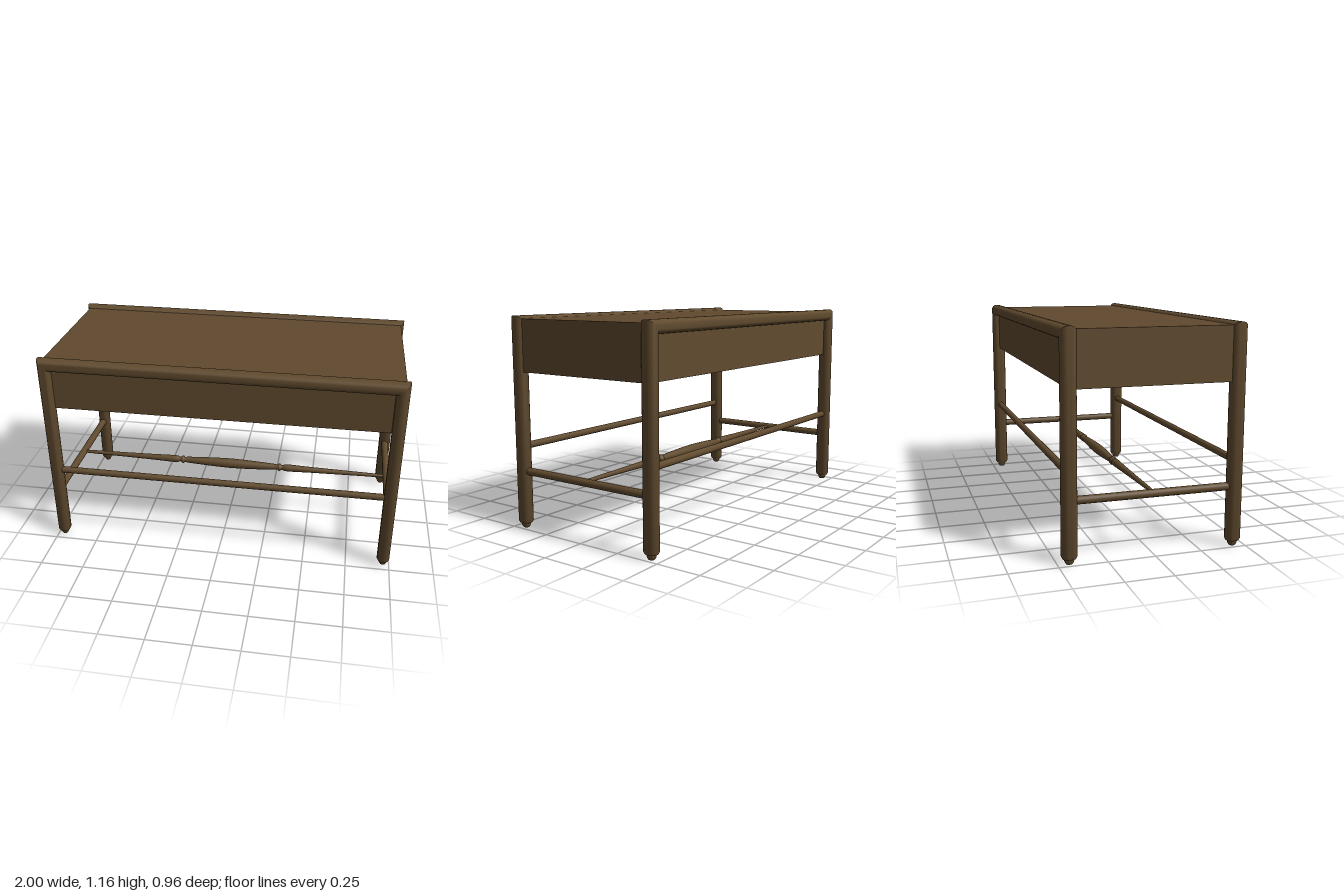
import * as THREE from 'three';
import { toCreasedNormals } from 'three/addons/utils/BufferGeometryUtils.js';

const LEG_X = 0.964, RAIL_Y = 1.129, FRAME_Z = 0.44;
const RX = 0.036, RZ = 0.041;

// One continuous mitred frame: foot, leg, top rail, leg, foot
function frameGeometry() {
  const foot = [[0, 0], [0, 0.4], [0.012, 0.58], [0.026, 0.64], [0.028, 0.84], [0.04, 1]];
  const rings = foot.map(([y, s]) => ({ x: -LEG_X, y, ox: -1, oy: 0, s }));
  rings.push({ x: -LEG_X, y: RAIL_Y, ox: -1, oy: 1, s: 1 });
  const half = rings.map((r) => ({ ...r, x: -r.x, ox: -r.ox })).reverse();
  rings.push(...half);

  const sides = 32, positions = [], index = [];
  const round = (v) => Math.sign(v) * Math.pow(Math.abs(v), 0.88);
  for (const r of rings) {
    for (let i = 0; i < sides; i++) {
      const t = (i / sides) * Math.PI * 2;
      const u = RX * r.s * round(Math.cos(t));
      positions.push(r.x + r.ox * u, r.y + r.oy * u, RZ * r.s * round(Math.sin(t)));
    }
  }
  for (let k = 0; k < rings.length - 1; k++) {
    for (let i = 0; i < sides; i++) {
      const j = (i + 1) % sides;
      const a = k * sides + i, b = k * sides + j;
      const c = a + sides, d = b + sides;
      index.push(a, b, d, a, d, c);
    }
  }
  const geometry = new THREE.BufferGeometry();
  geometry.setAttribute('position', new THREE.Float32BufferAttribute(positions, 3));
  geometry.setIndex(index);
  return toCreasedNormals(geometry, 0.6);
}

export function createModel() {
  const model = new THREE.Group();
  model.name = 'bench';
  const wood = new THREE.MeshStandardMaterial({ color: 0x604a2e });
  wood.name = 'brown wood';

  const add = (name, geometry, x, y, z) => {
    const mesh = new THREE.Mesh(geometry, wood);
    mesh.name = name;
    mesh.position.set(x, y, z);
    model.add(mesh);
    return mesh;
  };

  // Front and back frames, long stretchers and aprons
  const frame = frameGeometry();
  for (const [side, s] of [['front', 1], ['back', -1]]) {
    add(side + 'Frame', frame, 0, 0, s * FRAME_Z);
    const bar = add(side + 'Stretcher', new THREE.CylinderGeometry(0.019, 0.019, 1.93, 24), 0, 0.457, s * FRAME_Z);
    bar.rotation.z = Math.PI / 2;
    add(side + 'Apron', new THREE.BoxGeometry(1.94, 0.27, 0.01), 0, 1.0, s * 0.435);
  }

  // End aprons and end stretchers
  for (const [side, s] of [['left', 1], ['right', -1]]) {
    add(side + 'Apron', new THREE.BoxGeometry(0.01, 0.28, 0.86), s * 0.976, 1.005, 0);
    const bar = add(side + 'Stretcher', new THREE.CylinderGeometry(0.021, 0.021, 0.88, 24), s * LEG_X, 0.32, 0);
    bar.rotation.x = Math.PI / 2;
  }

  // Seat panel, hollow below
  add('seat', new THREE.BoxGeometry(1.962, 0.01, 0.86), 0, 1.144, 0);

  // Turned centre spindle, mirrored about its middle
  const profile = [
    [0.009, 0.965], [0.011, 0.88], [0.014, 0.7], [0.018, 0.5], [0.022, 0.37], [0.021, 0.34],
    [0.014, 0.328], [0.017, 0.318], [0.024, 0.31], [0.024, 0.304], [0.016, 0.296],
    [0.019, 0.27], [0.024, 0.18], [0.028, 0.09],
  ];
  const points = [
    ...profile.map(([r, x]) => new THREE.Vector2(r, -x)),
    new THREE.Vector2(0.03, 0),
    ...profile.map(([r, x]) => new THREE.Vector2(r, x)).reverse(),
  ];
  const spindle = add('centreSpindle', new THREE.LatheGeometry(points, 24), 0, 0.321, 0);
  spindle.rotation.z = Math.PI / 2;

  return model;
}
